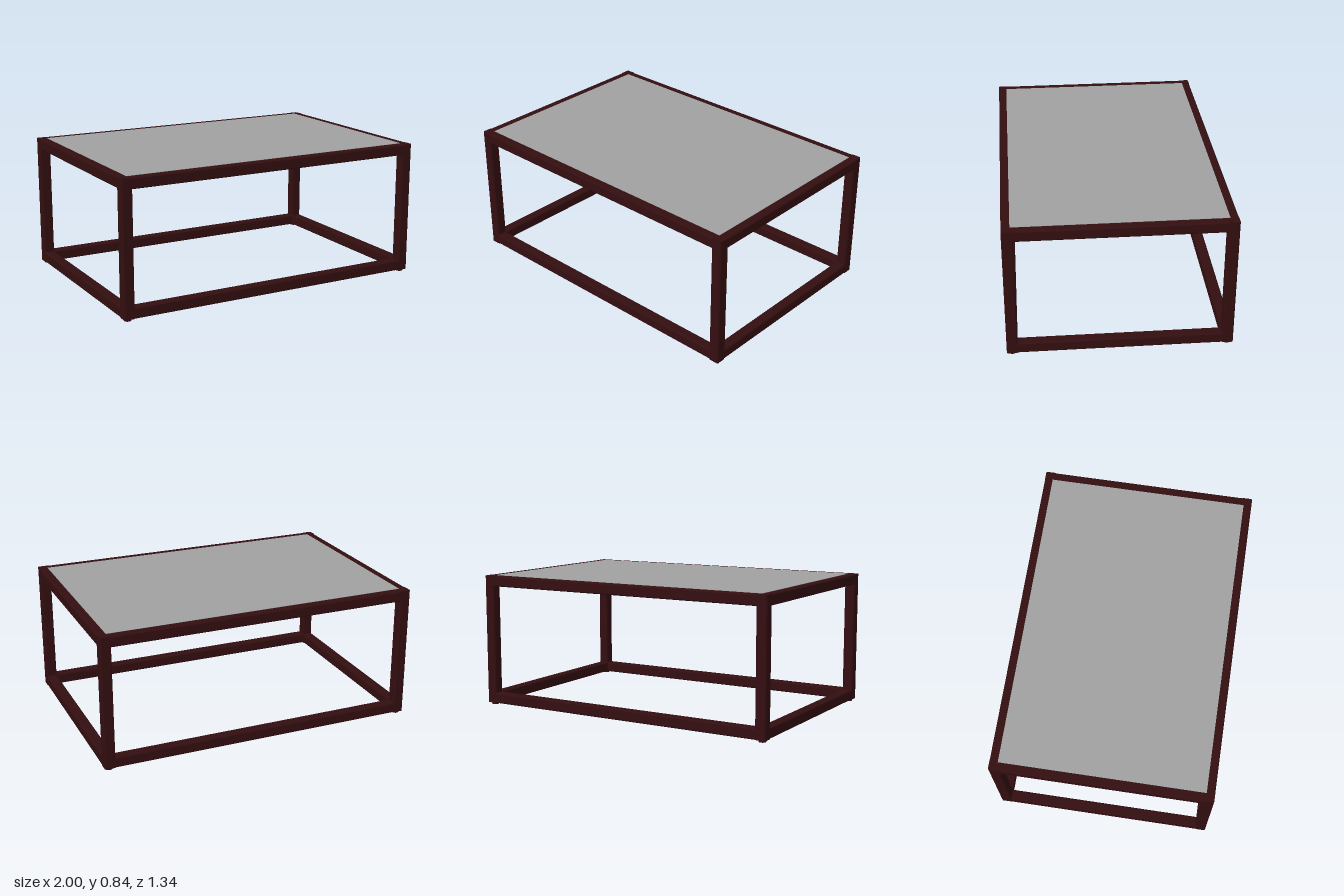
import * as THREE from 'three';

const X = 1, Z = 0.67, BASE = 0.013, TOP = 0.838, BAR = 0.066, CHAMFER = 0.006;

// Square bar with chamfered long edges, centred on the origin and running along z
function barGeometry(length) {
  const h = BAR / 2, c = h - CHAMFER;
  const outline = [[c, -h], [h, -c], [h, c], [c, h], [-c, h], [-h, c], [-h, -c], [-c, -h]];
  const shape = new THREE.Shape(outline.map(([x, y]) => new THREE.Vector2(x, y)));
  const geometry = new THREE.ExtrudeGeometry(shape, { depth: length, bevelEnabled: false });
  return geometry.translate(0, 0, -length / 2);
}

export function createModel() {
  const table = new THREE.Group();
  table.name = 'coffeeTable';
  const wood = new THREE.MeshStandardMaterial({ color: 0x330e10 });
  wood.name = 'dark red wood';
  const glass = new THREE.MeshStandardMaterial({ color: 0xa0a0a0 });
  glass.name = 'grey panel';

  const add = (name, geometry, material, x, y, z) => {
    const mesh = new THREE.Mesh(geometry, material);
    mesh.name = name;
    mesh.position.set(x, y, z);
    table.add(mesh);
  };

  const px = X - BAR / 2, pz = Z - BAR / 2;
  const post = barGeometry(TOP - BASE).rotateX(Math.PI / 2);
  const longRail = barGeometry(2 * (X - BAR) + 0.012).rotateY(Math.PI / 2);
  const shortRail = barGeometry(2 * (Z - BAR) + 0.012);
  const foot = new THREE.CylinderGeometry(0.022, 0.022, 0.02, 20);

  // Corner posts and their small round feet
  for (const sx of [-1, 1]) {
    for (const sz of [-1, 1]) {
      add('post', post, wood, sx * px, (TOP + BASE) / 2, sz * pz);
      add('foot', foot, wood, sx * px, 0.01, sz * pz);
    }
  }

  // Lower and upper rails
  for (const [level, y] of [['lower', BASE + BAR / 2], ['upper', TOP - BAR / 2]]) {
    for (const s of [-1, 1]) {
      add(level + 'LongRail', longRail, wood, 0, y, s * pz);
      add(level + 'ShortRail', shortRail, wood, s * px, y, 0);
    }
  }

  // Table top let into the upper rails
  add('topPanel', new THREE.BoxGeometry(1.896, 0.02, 1.24), glass, 0, TOP - 0.008, 0);
  return table;
}
